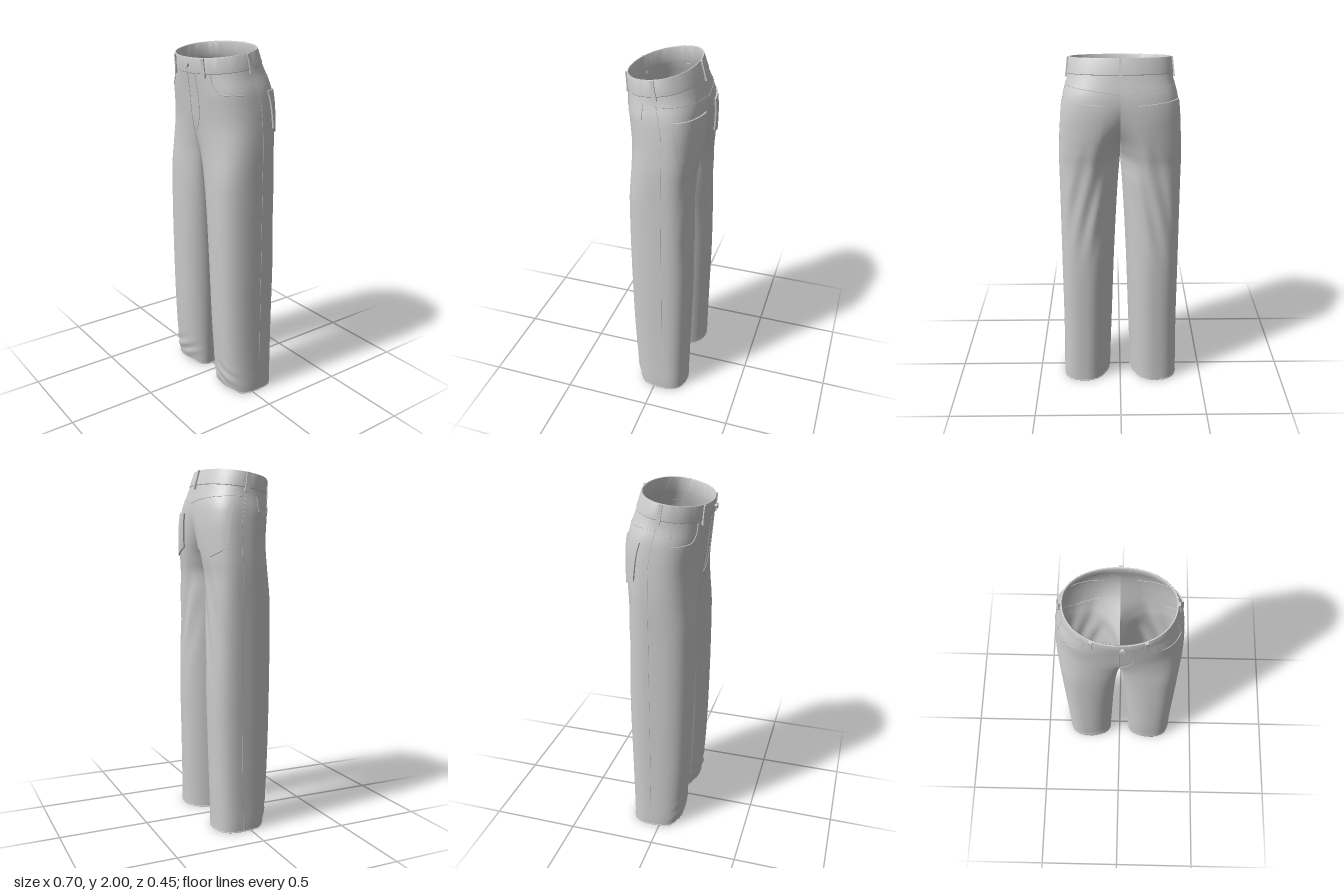
import * as THREE from 'three';
import { mergeGeometries, mergeVertices, toCreasedNormals } from 'three/addons/utils/BufferGeometryUtils.js';

const CROTCH = 1.42, TOP = 1.97;
const material = new THREE.MeshStandardMaterial({ color: 0xcccccc, side: THREE.DoubleSide });
const { smoothstep, clamp, lerp } = THREE.MathUtils;

// Height, then: inner x, outer x, front z, back z, z of the widest point,
// front z and back z at the inner edge (centre seam above the crotch)
const sections = [
  [0.00, 0.064, 0.347, 0.113, -0.180, -0.05, 0.03, 0.01],
  [0.05, 0.062, 0.347, 0.124, -0.180, -0.05, 0.03, 0.01],
  [0.15, 0.059, 0.344, 0.134, -0.182, -0.05, 0.03, 0.01],
  [0.40, 0.050, 0.340, 0.150, -0.187, -0.05, 0.03, 0.01],
  [0.80, 0.036, 0.338, 0.162, -0.194, -0.05, 0.04, 0.01],
  [1.10, 0.022, 0.336, 0.166, -0.188, -0.05, 0.06, 0.01],
  [1.30, 0.010, 0.335, 0.166, -0.188, -0.05, 0.09, 0.02],
  [1.42, 0.000, 0.335, 0.166, -0.195, -0.05, 0.120, 0.02],
  [1.50, 0.000, 0.333, 0.168, -0.208, -0.05, 0.149, -0.075],
  [1.60, 0.000, 0.326, 0.173, -0.219, -0.05, 0.172, -0.170],
  [1.70, 0.000, 0.316, 0.182, -0.220, -0.045, 0.184, -0.206],
  [1.78, 0.000, 0.304, 0.190, -0.210, -0.03, 0.191, -0.207],
  [1.86, 0.000, 0.283, 0.200, -0.188, -0.01, 0.200, -0.187],
  [1.97, 0.000, 0.268, 0.213, -0.156, 0.01, 0.213, -0.156],
];
const spline = new THREE.CubicInterpolant(
  sections.map((s) => s[0]), sections.flatMap((s) => s.slice(1)), 7);

// Outline point at height y: t = 0 front centre, 1 left side, 2 back centre, negative = right
function outline(t, y) {
  let side = 1;
  if (t < 0) { t = -t; side = -1; }
  if (t > 2) { t = 4 - t; side = -side; }
  const yy = clamp(y, 0, TOP);
  const [xi, w, zf, zb, zs, cf, cb] = spline.evaluate(yy);
  const inner = yy >= CROTCH ? 0 : Math.max(0, xi);
  const front = t <= 1, zMax = front ? zf : zb, c = front ? cf : cb;
  const X = (1 - Math.cos(Math.PI * t)) / 2, s = 2 * X - 1;
  const dome = (v, n) => Math.pow(Math.max(0, 1 - Math.pow(Math.abs(v), n)), 1 / n);
  const base = s < 0 ? c : zs;
  const leg = base + (zMax - base) * dome(s, s < 0 ? 2 : 2.7);
  const dip = X < 0.5 ? (zMax - c) * (1 - 2 * X) ** 2 : 0;
  const hips = zs + (zMax - zs) * dome(X, lerp(2.7, 2.1, smoothstep(yy, 1.75, 1.95))) - dip;
  let z = lerp(leg, hips, smoothstep(yy, 1.25, 1.65));
  // Crumples above the front hem and slanting folds behind the thigh
  const soft = Math.sin(Math.PI * X);
  if (front) z += 0.006 * soft * Math.exp(-(((yy - 0.1) / 0.07) ** 2)) * Math.sin(70 * yy + 12 * X);
  else z += 0.005 * soft * Math.exp(-(((yy - 1.2) / 0.25) ** 2)) * Math.sin(22 * X + 14 * yy);
  return [side * (inner + (w - inner) * X), z];
}

// Tilted waistline and slightly lifted front hem
function place(x, y, z) {
  const tilt = -0.15 * z * smoothstep(y, 1.5, 1.95);
  const lift = 0.02 * smoothstep(z, 0.06, 0.11) * (1 - smoothstep(y, 0, 0.15));
  return new THREE.Vector3(x, y + tilt + lift, z);
}

// Point on the cloth, moved outwards by off
function cloth(t, y, off = 0) {
  const [x, z] = outline(t, y);
  if (!off) return place(x, y, z);
  const a = outline(t - 0.02, y), b = outline(t + 0.02, y);
  const dx = b[0] - a[0], dz = b[1] - a[1], l = Math.hypot(dx, dz) || 1;
  return place(x - (dz / l) * off, y, z + (dx / l) * off);
}

// Sheet of quads from a function of u, v in 0..1
function sheet(fn, nu, nv, flip = false) {
  const pos = [], index = [];
  for (let j = 0; j <= nv; j++)
    for (let i = 0; i <= nu; i++) pos.push(...fn(i / nu, j / nv).toArray());
  for (let j = 0; j < nv; j++)
    for (let i = 0; i < nu; i++) {
      const a = j * (nu + 1) + i, b = a + 1, c = a + nu + 1, d = c + 1;
      index.push(...(flip ? [a, d, b, a, c, d] : [a, b, d, a, d, c]));
    }
  const g = new THREE.BufferGeometry();
  g.setAttribute('position', new THREE.Float32BufferAttribute(pos, 3));
  g.setIndex(index);
  g.computeVertexNormals();
  return g;
}

// Raised patch; map(u, v) gives [t, y] and the outermost cells fold down to the cloth
function patch(map, off, nu = 14, nv = 14) {
  const inset = (u, n) => clamp((u * n - 1) / (n - 2), 0, 1);
  const g = sheet((u, v) => {
    const edge = u === 0 || u === 1 || v === 0 || v === 1;
    const [t, y] = map(inset(u, nu), inset(v, nv));
    return cloth(t, y, edge ? -0.002 : off);
  }, nu, nv);
  return toCreasedNormals(g, 0.7);
}

// Thin raised seam through [t, y] points
function seam(points, r = 0.002) {
  const flat = new THREE.CatmullRomCurve3(points.map(([t, y]) => new THREE.Vector3(t, y, 0)));
  const path = flat.getPoints(40).map((p) => cloth(p.x, p.y, 0.001));
  return new THREE.TubeGeometry(new THREE.CatmullRomCurve3(path), 60, r, 5);
}

export function createModel() {
  const group = new THREE.Group();
  const add = (name, geometry) => {
    const mesh = new THREE.Mesh(geometry, material);
    mesh.name = name;
    group.add(mesh);
  };

  // Trouser body: outer cloth of both halves and the inner wall of each leg
  const parts = [];
  for (const s of [1, -1]) {
    const at = (t, y) => { const p = cloth(t, y); p.x *= s; return p; };
    parts.push(sheet((u, v) => at(2 * u, CROTCH * v), 72, 90, s < 0));
    parts.push(sheet((u, v) => at(2 * u, lerp(CROTCH, 1.95, v)), 72, 36, s < 0));
    parts.push(sheet((u, v) => {
      const y = CROTCH * v, [x, zBack] = outline(2, y), zFront = outline(0, y)[1];
      return place(Math.abs(x) * s, y, lerp(zBack, zFront, u));
    }, 8, 90, s < 0));
  }
  parts.forEach((g) => g.deleteAttribute('normal'));
  const body = mergeVertices(mergeGeometries(parts), 1e-4);
  body.computeVertexNormals();
  add('trouserBody', body);

  // Waistband with a rolled top edge
  const band = [[0, 1.888], [0.003, 1.891], [0.003, 1.968], [0.001, 1.973],
    [-0.004, 1.973], [-0.007, 1.968], [-0.007, 1.89]];
  add('waistband', toCreasedNormals(sheet((u, v) => {
    const [off, y] = band[Math.round(v * (band.length - 1))];
    return cloth(lerp(-2, 2, u), y, off);
  }, 144, band.length - 1), 0.8));

  // Belt loops: two in front, one on each side, one behind
  for (const [t, dt] of [[0.48, 0.019], [-0.48, 0.019], [1, 0.018], [-1, 0.018], [2, 0.11]])
    add('beltLoop', patch((u, v) => [t + dt * (2 * u - 1), lerp(1.868, 1.972, v)], 0.011, 6, 10));

  // Centre front seam and curved fly stitching
  add('centreFrontSeam', seam([[0, 1.888], [0, 1.75], [0, 1.6], [0, 1.45]]));
  add('flyStitching', seam([[0.32, 1.888], [0.32, 1.7], [0.27, 1.6], [0.16, 1.55], [0, 1.53]]));

  // Button on a short shank
  const button = new THREE.Group();
  button.name = 'waistButton';
  for (const [r, h, z] of [[0.008, 0.02, 0], [0.016, 0.006, 0.008]]) {
    const disc = new THREE.Mesh(new THREE.CylinderGeometry(r, r, h, 20).rotateX(Math.PI / 2), material);
    disc.name = 'buttonDisc';
    disc.position.z = z;
    button.add(disc);
  }
  button.position.copy(cloth(0.17, 1.935, 0.009));
  group.add(button);

  for (const s of [1, -1]) {
    // Back pocket with a pointed bottom
    add('backPocket', patch((u, v) => {
      const f = s > 0 ? u : 1 - u;
      const bottom = 1.57 - 0.045 * (1 - Math.abs(2 * u - 1));
      const y = lerp(bottom, 1.765 - 0.02 * f, v);
      return [s * (1.37 + 0.28 * (2 * f - 1) * lerp(0.85, 1, v)), y];
    }, 0.009));
    // Scooped front pocket opening and its side edge
    add('frontPocketEdge', seam([[0.56, 1.885], [0.575, 1.83], [0.62, 1.79], [0.74, 1.772], [0.88, 1.768]]
      .map(([t, y]) => [s * t, y]), 0.003));
    add('frontPocketSide', seam([[s * 0.88, 1.768], [s * 0.89, 1.85]]));
    // Outer leg seam and back yoke seam
    add('sideSeam', seam([[s, 0.01], [s, 0.6], [s, 1.2], [s, 1.85]], 0.0012));
    add('yokeSeam', seam([[s, 1.84], [s * 1.5, 1.815], [s * 2, 1.79]], 0.0015));
    // Rolled hem around the leg
    const hem = [];
    for (let i = 0; i < 48; i++) {
      const p = cloth((2 * i) / 47, 0.003);
      p.x *= s;
      hem.push(p);
    }
    add('hem', new THREE.TubeGeometry(new THREE.CatmullRomCurve3(hem, true), 96, 0.003, 6, true));
  }
  return group;
}
